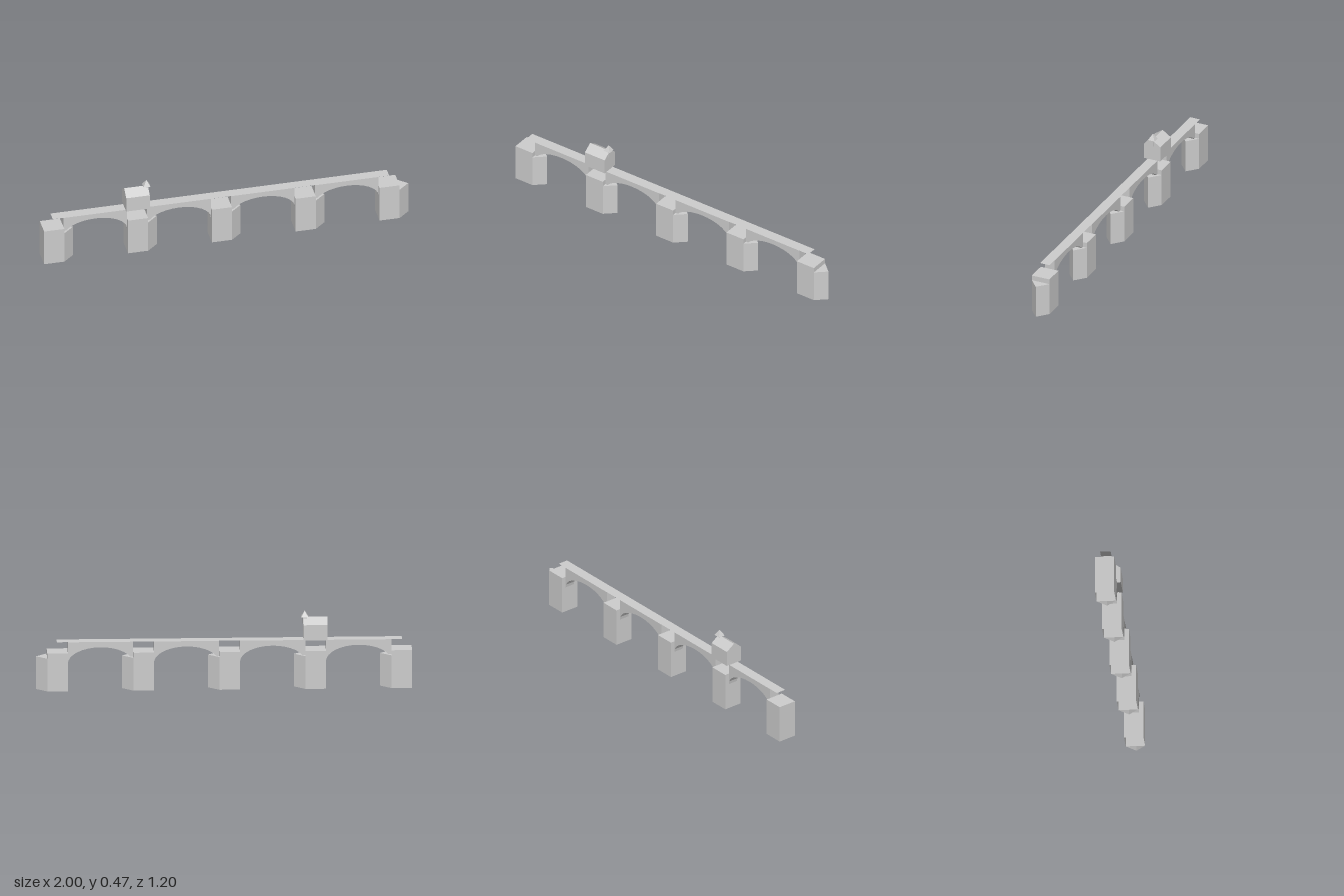
import * as THREE from 'three';

const stone = new THREE.MeshStandardMaterial({ color: 0xcccccc, flatShading: true, side: THREE.DoubleSide });
stone.name = 'pale stone';

function add(parent, name, geometry, x = 0, y = 0, z = 0) {
  const mesh = new THREE.Mesh(geometry, stone);
  mesh.name = name;
  mesh.position.set(x, y, z);
  parent.add(mesh);
  return mesh;
}

// Upright prism over a convex [x, z] outline, with a top and an open bottom
function openPrism(outline, height) {
  const pos = [];
  const n = outline.length;
  const at = (i, y) => [outline[i % n][0], y, outline[i % n][1]];
  for (let i = 0; i < n; i++) {
    const a = at(i, 0), b = at(i + 1, 0), c = at(i + 1, height), d = at(i, height);
    pos.push(...a, ...b, ...c, ...a, ...c, ...d);
    if (i > 0 && i < n - 1) pos.push(...at(0, height), ...at(i, height), ...at(i + 1, height));
  }
  const g = new THREE.BufferGeometry();
  g.setAttribute('position', new THREE.Float32BufferAttribute(pos, 3));
  g.computeVertexNormals();
  return g;
}

export function createModel() {
  const model = new THREE.Group();
  model.name = 'bridge';

  // The bridge runs along local x and is turned diagonally
  const bridge = new THREE.Group();
  bridge.name = 'diagonalBridge';
  bridge.rotation.y = Math.PI / 6;
  bridge.position.set(-0.004, 0, -0.007);
  model.add(bridge);

  const pitch = 0.52, firstPier = -1.115, pierLength = 0.125, pierHalf = 0.059;
  const deckY = 0.3, deckHalf = 0.032;

  // Piers: a block with a lower pointed cutwater on one end
  const block = openPrism([[0, pierHalf], [pierLength, pierHalf], [pierLength, -pierHalf], [0, -pierHalf]], 0.237);
  const wedge = openPrism([[pierLength, pierHalf], [pierLength + 0.067, 0], [pierLength, -pierHalf]], 0.205);
  for (let i = 0; i < 5; i++) {
    const pier = new THREE.Group();
    pier.name = 'pier';
    pier.position.x = firstPier + i * pitch;
    add(pier, 'pierBlock', block);
    add(pier, 'cutwater', wedge);
    bridge.add(pier);
  }

  // Arches spanning from pier to pier
  const span = pitch - pierLength, spring = 0.165, crown = 0.266;
  const arch = new THREE.Shape();
  arch.moveTo(0, spring);
  for (let i = 1; i <= 16; i++) {
    const a = Math.PI * (1 - i / 16);
    arch.lineTo(span / 2 + Math.cos(a) * span / 2, spring + Math.sin(a) * (crown - spring));
  }
  arch.lineTo(span, deckY - 0.001);
  arch.lineTo(0, deckY - 0.001);
  arch.closePath();
  const archGeometry = new THREE.ExtrudeGeometry(arch, { depth: deckHalf * 2, bevelEnabled: false });
  for (let i = 0; i < 4; i++) {
    add(bridge, 'arch', archGeometry, firstPier + pierLength + i * pitch, 0, -deckHalf);
  }

  // Thin roadway
  const road = new THREE.PlaneGeometry(2.086, deckHalf * 2).rotateX(-Math.PI / 2);
  add(bridge, 'roadway', road, -0.012, deckY, 0);

  // Gabled chapel over the second pier
  const houseLength = 0.146, houseHalf = 0.055;
  const gable = new THREE.Shape([
    [-houseHalf, 0], [houseHalf, 0], [houseHalf, 0.096], [0, 0.134], [-houseHalf, 0.096],
  ].map(([x, y]) => new THREE.Vector2(x, y)));
  const house = new THREE.ExtrudeGeometry(gable, { depth: houseLength, bevelEnabled: false }).rotateY(Math.PI / 2);
  add(bridge, 'chapel', house, -0.605, deckY + 0.002, 0);

  // Bell turret at the end of the ridge
  add(bridge, 'turretPost', new THREE.BoxGeometry(0.024, 0.045, 0.024), -0.468, 0.4175, 0);
  const cap = new THREE.ConeGeometry(0.031, 0.038, 4).rotateY(Math.PI / 4);
  add(bridge, 'turretRoof', cap, -0.468, 0.456, 0);

  return model;
}
